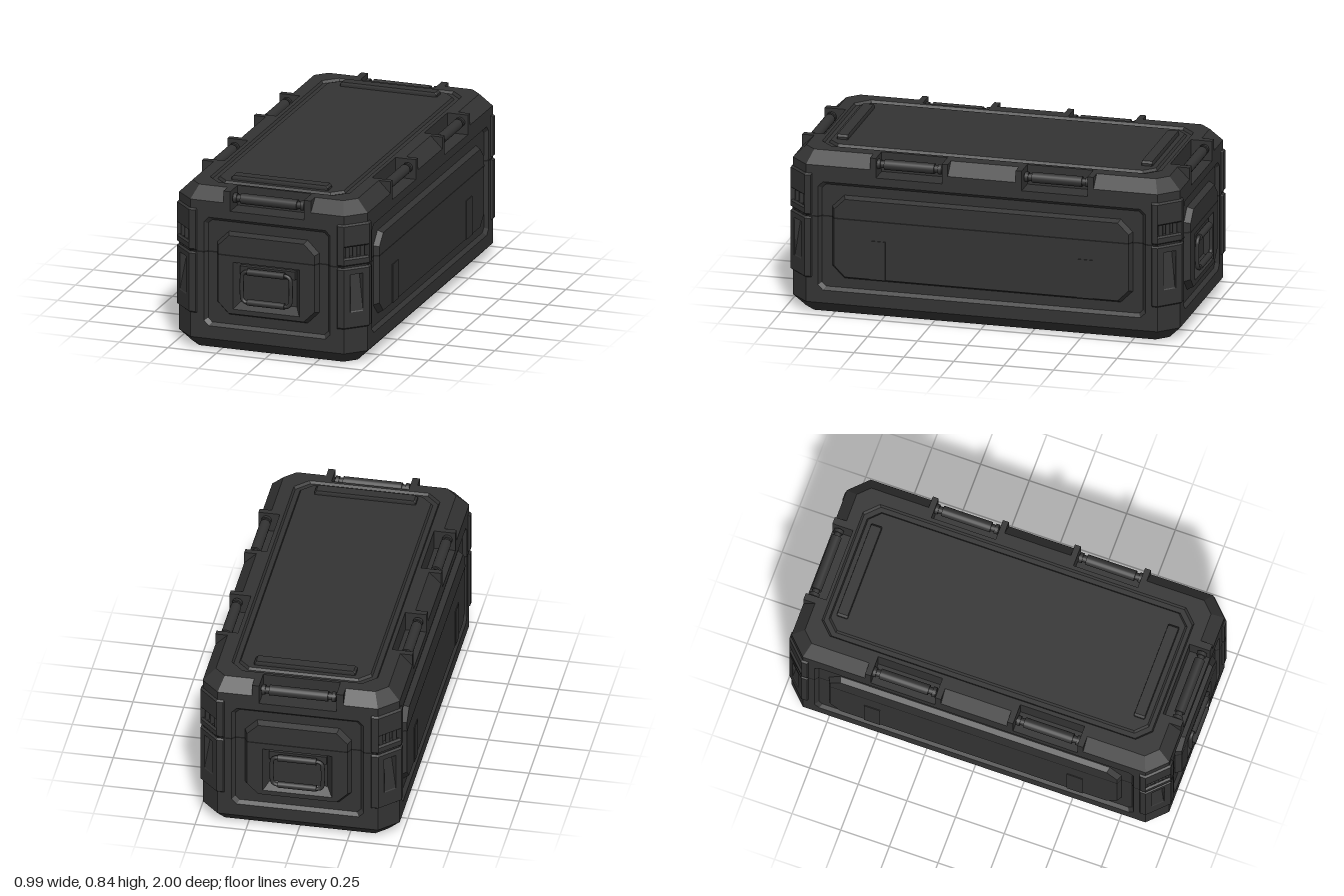
import * as THREE from 'three';

const HX = 0.485, HZ = 0.97, CH = 0.09; // body half sizes and corner cut
const K = 2 - Math.SQRT2;
const V = (x, y, z) => new THREE.Vector3(x, y, z);

// Flat-shaded skin over rows of points; closed joins the last column to the first
function skin(rows, closed = true) {
  const pos = [];
  const tri = (a, b, c) => {
    const n = b.clone().sub(a).cross(c.clone().sub(a));
    if (n.length() > 1e-9) for (const p of [a, b, c]) pos.push(p.x, p.y, p.z);
  };
  for (let i = 0; i < rows.length - 1; i++) {
    const r = rows[i], s = rows[i + 1], n = r.length;
    for (let j = 0; j < (closed ? n : n - 1); j++) {
      const k = (j + 1) % n;
      tri(r[j], r[k], s[k]);
      tri(r[j], s[k], s[j]);
    }
  }
  const g = new THREE.BufferGeometry();
  g.setAttribute('position', new THREE.Float32BufferAttribute(pos, 3));
  g.computeVertexNormals();
  return g;
}

// Copy mirrored in x and z, keeping the faces outward
function mirrored(geo, sx, sz) {
  const g = geo.clone();
  const p = g.attributes.position;
  for (let i = 0; i < p.count; i++) p.setXYZ(i, p.getX(i) * sx, p.getY(i), p.getZ(i) * sz);
  if (sx * sz < 0) {
    for (let i = 0; i < p.count; i += 3) {
      const a = V().fromBufferAttribute(p, i + 1), b = V().fromBufferAttribute(p, i + 2);
      p.setXYZ(i + 1, b.x, b.y, b.z);
      p.setXYZ(i + 2, a.x, a.y, a.z);
    }
  }
  g.computeVertexNormals();
  return g;
}

// Cut-corner outline, upright (facing +z) or lying flat
const oct = (hx, y0, y1, c, z) => [
  [c - hx, y0], [hx - c, y0], [hx, y0 + c], [hx, y1 - c],
  [hx - c, y1], [c - hx, y1], [-hx, y1 - c], [-hx, y0 + c],
].map(([x, y]) => V(x, y, z));
const plan = (hx, hz, c, y) => oct(hx, -hz, hz, c, 0).map((p) => V(p.x, y, -p.y));
const point = (x, y, z, n = 8) => Array.from({ length: n }, () => V(x, y, z));

// Stations round one corner; d is the inset from the body outline
const cut = (d) => CH - K * d;
const front = (x) => (d) => [x, HZ - d];
const side = (z) => (d) => [HX - d, z];
const cornerF = (d) => [HX - d - cut(d), HZ - d];
const cornerS = (d) => [HX - d, HZ - d - cut(d)];
const flat = (st) => () => st(0);
const sweep = (stations, profile) => skin(profile.map(([d, y]) => stations.map((s) => {
  const [x, z] = s(d);
  return V(x, y, z);
})), false);

export function createModel() {
  const model = new THREE.Group();
  model.name = 'storageCrate';
  const shell = new THREE.MeshStandardMaterial({ color: 0x333333, side: THREE.DoubleSide });
  shell.name = 'charcoal';
  const dark = new THREE.MeshStandardMaterial({ color: 0x1c1c1c, side: THREE.DoubleSide });
  dark.name = 'seamBlack';

  const add = (parent, name, geo, mat = shell) => {
    const m = new THREE.Mesh(geo, mat);
    m.name = name;
    parent.add(m);
    return m;
  };
  const box = (parent, name, x0, x1, y0, y1, z0, z1) =>
    add(parent, name, new THREE.BoxGeometry(x1 - x0, y1 - y0, z1 - z0))
      .position.set((x0 + x1) / 2, (y0 + y1) / 2, (z0 + z1) / 2);
  const rod = (parent, name, r, len, x, y, z, axis = 'x') => {
    const m = add(parent, name, new THREE.CylinderGeometry(r, r, len, 20));
    if (axis === 'x') m.rotation.z = Math.PI / 2;
    m.position.set(x, y, z);
  };

  // Bevelled underside, notch floor and top plate with a groove
  add(model, 'base', skin([point(0, 0, 0), plan(HX - 0.06, HZ - 0.06, cut(0.06), 0), plan(HX, HZ, CH, 0.06)]));
  add(model, 'notchFloor', skin([plan(HX, HZ, CH, 0.72), point(0, 0.72, 0)]));
  add(model, 'topPlate', skin([
    plan(0.38, 0.865, cut(0.105), 0.72), plan(0.38, 0.865, cut(0.105), 0.82),
    plan(0.36, 0.85, 0.065, 0.82), plan(0.352, 0.842, 0.063, 0.808),
    plan(0.328, 0.822, 0.055, 0.808), plan(0.32, 0.814, 0.052, 0.82), point(0, 0.82, 0),
  ]));
  for (const s of [-1, 1]) {
    add(model, 'topBar', skin([
      plan(0.25, 0.028, 0.004, 0.815), plan(0.25, 0.028, 0.004, 0.832),
      plan(0.24, 0.026, 0.004, 0.842), point(0, 0.842, 0),
    ])).position.z = s * 0.763;
  }

  // One wall: sunk frame, raised middle, optional pocket, and the lid seam
  function wall(name, half, hole, inner, rise, pocket) {
    const g = new THREE.Group();
    g.name = name;
    const rows = [
      oct(half, 0.06, 0.72, 0, 0), oct(hole, 0.125, 0.678, 0.025, 0),
      oct(hole - 0.016, 0.141, 0.662, 0.02, -0.018), oct(inner, 0.19, 0.613, 0.06, -0.018),
      oct(inner - 0.014, 0.204, 0.6, 0.055, rise),
    ];
    if (pocket) rows.push(oct(0.17, 0.228, 0.466, 0, rise), oct(0.142, 0.262, 0.458, 0, -0.03), point(0, 0.36, -0.03));
    else rows.push(point(0, 0.4, rise));
    add(g, 'wallPanel', skin(rows));
    const line = [[half, 0], [hole, 0], [hole - 0.016, -0.018], [inner, -0.018], [inner - 0.014, rise]];
    const path = [...line.map(([x, z]) => [-x, z]), ...line.reverse()];
    add(g, 'lidSeam', skin([0.496, 0.504].map((y) => path.map(([x, z]) => V(x, y, z + 0.0015))), false), dark);
    model.add(g);
    return g;
  }

  // Grooved roller in a rim notch
  function roller(parent, x, half, z) {
    rod(parent, 'rollerCore', 0.018, half * 2, x, 0.78, z);
    rod(parent, 'rollerGrip', 0.026, half * 2 - 0.08, x, 0.78, z);
    for (const s of [-1, 1]) rod(parent, 'rollerCollar', 0.025, 0.018, x + s * (half - 0.012), 0.78, z);
  }

  // End walls with carry handles
  for (const s of [-1, 1]) {
    const g = wall('endWall', HX - CH, 0.325, 0.262, 0.012, true);
    g.position.z = s * HZ;
    if (s < 0) g.rotation.y = Math.PI;
    const pts = [];
    for (const [cx, cy, a0] of [[0.099, 0.4, 0], [-0.099, 0.4, 1], [-0.099, 0.296, 2], [0.099, 0.296, 3]]) {
      for (let i = 0; i <= 4; i++) {
        const a = (a0 + i / 4) * Math.PI / 2;
        pts.push(V(cx + 0.026 * Math.cos(a), cy + 0.026 * Math.sin(a), 0.012));
      }
    }
    add(g, 'handleLoop', new THREE.TubeGeometry(new THREE.CatmullRomCurve3(pts, true), 80, 0.01, 10, true));
    rod(g, 'handleHinge', 0.017, 0.19, 0, 0.426, 0.013);
    rod(g, 'handleGrip', 0.016, 0.19, 0, 0.272, 0.013);
    box(g, 'hingeBracket', -0.142, 0.142, 0.405, 0.447, -0.03, -0.004);
    roller(g, 0, 0.185, -0.037);
    for (const t of [-1, 1]) box(g, 'notchCheek', t * 0.2075 - 0.0175, t * 0.2075 + 0.0175, 0.72, 0.82, -0.105, 0);
  }

  // Long side walls with ribs, rollers and the middle rim
  const rim = [[0, 0.72], [0, 0.76], [0.06, 0.82], [0.105, 0.82]];
  for (const s of [-1, 1]) {
    const g = wall('sideWall', HZ - CH, 0.82, 0.752, 0.008, false);
    g.position.x = s * HX;
    g.rotation.y = s * Math.PI / 2;
    for (const t of [-1, 1]) {
      box(g, 'sideRib', t * 0.52 - 0.04, t * 0.52 + 0.04, 0.203, 0.4, 0, 0.012);
      roller(g, t * 0.37, 0.165, -0.04);
      for (const c of [0.185, 0.545]) box(g, 'notchCheek', t * c - 0.015, t * c + 0.015, 0.72, 0.82, -0.105, 0);
    }
    add(model, 'middleRim', mirrored(sweep([side(0.17), side(-0.17)], rim), s, 1));
  }

  // Corner parts, built once and mirrored to all four corners
  const E = 0.01;
  const band = (y0, y1) => [[0, y0], [-E, y0 + 0.008], [-E, y1 - 0.008], [0, y1]];
  const frontWing = [flat(front(0.36)), front(0.365), cornerF];
  const sideWing = [cornerS, side(0.855), flat(side(0.85))];
  const around = [...frontWing, ...sideWing];

  // Slotted lower guard face, turned to the diagonal
  const w0 = CH / Math.SQRT2, w1 = cut(-E) / Math.SQRT2;
  const rect = (w, y0, y1, z0, z1 = z0) => [V(-w, y0, z0), V(w, y0, z0), V(w, y1, z1), V(-w, y1, z1)];
  const slot = skin([
    rect(w0, 0.185, 0.496, -E), rect(w1, 0.193, 0.488, 0), rect(0.034, 0.27, 0.462, 0),
    rect(0.03, 0.275, 0.455, -0.003, -0.035), point(0, 0.365, -0.019, 4),
  ]);
  slot.rotateY(Math.PI / 4);
  slot.translate(HX + E - cut(-E) / 2, 0, HZ + E - cut(-E) / 2);

  const pieces = {
    cornerRim: sweep([front(0.225), cornerF, cornerS, side(0.56)], rim),
    cornerWall: sweep([flat(cornerF), cornerF, cornerS, flat(cornerS)],
      [[0, 0.06], [0, 0.185], [0.04, 0.185], [0.04, 0.494], [0.004, 0.494], [0.004, 0.545],
        [0.025, 0.545], [0.025, 0.6], [0, 0.6], [0, 0.72]]),
    lowerGuardFrontWing: sweep(frontWing, band(0.185, 0.496)),
    lowerGuardSideWing: sweep(sideWing, band(0.185, 0.496)),
    lowerGuardSlot: slot,
    upperGuardStrip: sweep(around, band(0.504, 0.546)),
    upperGuard: sweep(around, band(0.6, 0.717)),
    upperGuardFrontWing: sweep([...frontWing, flat(cornerF)], [[-E, 0.53], [-E, 0.61]]),
    upperGuardSideWing: sweep([flat(cornerS), ...sideWing], [[-E, 0.53], [-E, 0.61]]),
  };
  for (const sx of [-1, 1]) {
    for (const sz of [-1, 1]) {
      const g = new THREE.Group();
      g.name = 'corner';
      for (const [name, geo] of Object.entries(pieces)) add(g, name, mirrored(geo, sx, sz));
      // Upright pins in the guard gap
      for (const t of [-0.028, 0, 0.028]) {
        rod(g, 'cornerPin', 0.011, 0.06, sx * (HX - CH / 2 - 0.008 + t), 0.573, sz * (HZ - CH / 2 - 0.008 - t), 'y');
      }
      model.add(g);
    }
  }
  return model;
}
